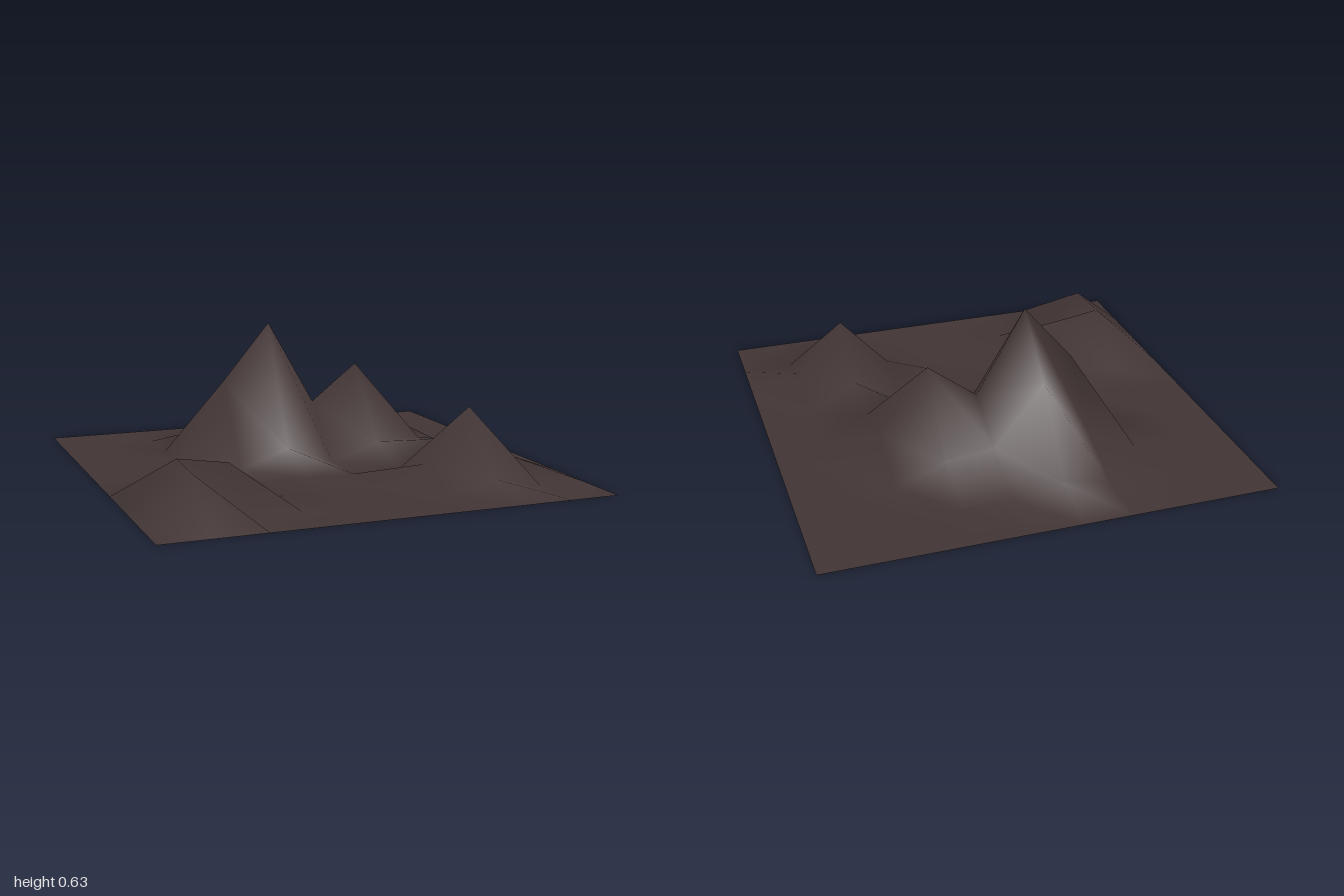
import * as THREE from 'three';

const COLS = 9, ROWS = 8;

// Raised grid points: column (from -x), row (from -z), height
const PEAKS = [
  // main mountain
  [4, 3, 0.63], [3, 3, 0.37], [5, 3, 0.245], [4, 2, 0.39], [3, 2, 0.1], [5, 2, 0.12],
  [4, 1, 0.05], [4, 4, 0.085],
  // second mountain
  [6, 3, 0.415], [6, 2, 0.09], [7, 3, 0.12], [6, 4, 0.08],
  // front hill
  [7, 6, 0.32], [6, 6, 0.08], [8, 6, 0.08], [7, 7, 0.05], [7, 5, 0.125], [7, 4, 0.085],
  // corner ridge
  [1, 7, 0.185], [1, 6, 0.197], [2, 6, 0.163],
];

export function createModel() {
  const group = new THREE.Group();
  group.name = 'mountainTerrain';

  const rock = new THREE.MeshStandardMaterial({ color: 0x413434, side: THREE.DoubleSide });
  rock.name = 'darkRock';

  // Flat grid, turned so its cells split from back left to front right
  const geometry = new THREE.PlaneGeometry(2, 1.98, ROWS, COLS)
    .rotateX(-Math.PI / 2)
    .rotateY(Math.PI / 2);

  // Lift the chosen points into peaks
  const position = geometry.attributes.position;
  for (const [col, row, height] of PEAKS) {
    position.setY(col * (ROWS + 1) + ROWS - row, height);
  }
  geometry.computeVertexNormals();

  const terrain = new THREE.Mesh(geometry, rock);
  terrain.name = 'terrain';
  group.add(terrain);
  return group;
}
